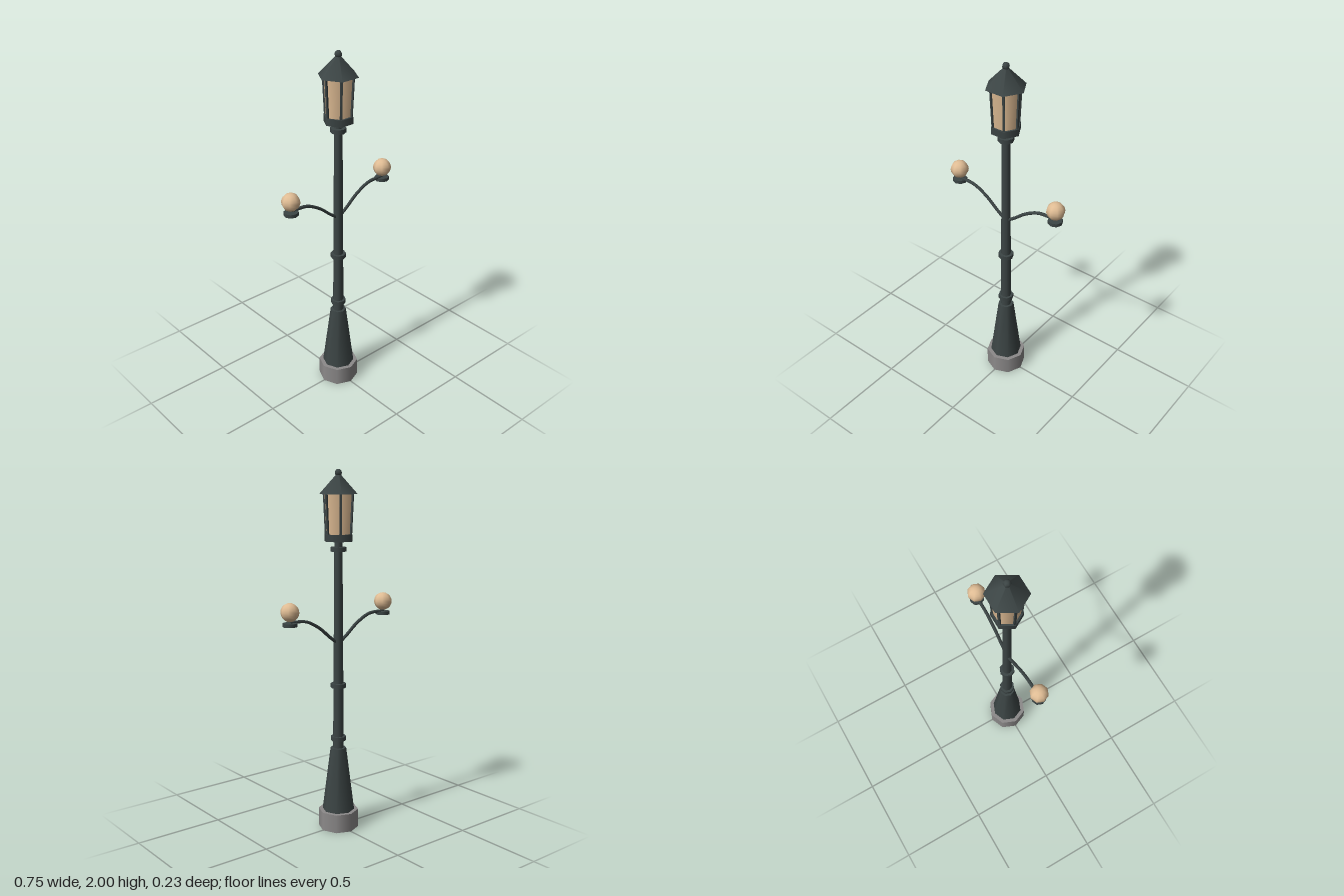
import * as THREE from 'three';

export function createModel() {
  const model = new THREE.Group();
  model.name = 'streetLamp';
  const iron = new THREE.MeshStandardMaterial({ color: 0x3c4545 });
  const glow = new THREE.MeshStandardMaterial({ color: 0xdfbc94 });
  const stone = new THREE.MeshStandardMaterial({ color: 0x8c8a8a });
  iron.name = 'darkIron';
  glow.name = 'warmGlass';
  stone.name = 'greyStone';

  const add = (name, geometry, material, x = 0, y = 0, z = 0) => {
    const mesh = new THREE.Mesh(geometry, material);
    mesh.name = name;
    mesh.position.set(x, y, z);
    model.add(mesh);
    return mesh;
  };
  // Upright cylinder given by its bottom and top heights and radii
  const column = (name, material, y0, y1, r0, r1, sides = 8, x = 0) =>
    add(name, new THREE.CylinderGeometry(r1, r0, y1 - y0, sides), material, x, (y0 + y1) / 2);

  // Footing, tapered pedestal and pole
  column('footing', stone, 0, 0.105, 0.113, 0.113);
  column('pedestal', iron, 0.105, 0.47, 0.09, 0.044);
  column('pole', iron, 0.47, 1.63, 0.03, 0.022);
  for (const y of [0.525, 0.83, 1.58]) column('collar', iron, y - 0.012, y + 0.012, 0.043, 0.043);

  // Hexagonal lantern with corners on the x axis
  const turn = Math.PI / 6;
  column('lanternBase', iron, 1.622, 1.66, 0.081, 0.081, 6).rotation.y = turn;
  column('lanternGlass', glow, 1.66, 1.87, 0.07, 0.08, 6).rotation.y = turn;
  column('lanternRoof', iron, 1.87, 1.978, 0.109, 0.006, 6).rotation.y = turn;
  add('finial', new THREE.SphereGeometry(0.02, 6, 6), iron, 0, 1.98);

  // Slanted bars along the glass corners
  for (let i = 0; i < 6; i++) {
    const holder = new THREE.Group();
    holder.name = 'lanternBar';
    holder.rotation.y = i * Math.PI / 3;
    const bar = new THREE.Mesh(new THREE.BoxGeometry(0.012, 0.212, 0.012), iron);
    bar.name = 'bar';
    bar.position.set(0.075, 1.765, 0);
    bar.rotation.z = -Math.atan2(0.01, 0.21);
    holder.add(bar);
    model.add(holder);
  }

  // Curved side arms, each with a dish and a globe
  for (const [side, s] of [['left', 1], ['right', -1]]) {
    const path = new THREE.CatmullRomCurve3(
      [[0, 1.065], [0.06, 1.108], [0.13, 1.165], [0.22, 1.21], [0.325, 1.216]]
        .map(([x, y]) => new THREE.Vector3(s * x, y, 0)));
    add(side + 'Arm', new THREE.TubeGeometry(path, 16, 0.009, 6), iron);
    column(side + 'Dish', iron, 1.195, 1.214, 0.04, 0.04, 8, s * 0.324);
    add(side + 'Globe', new THREE.SphereGeometry(0.05, 8, 10), glow, s * 0.324, 1.27);
  }
  return model;
}
